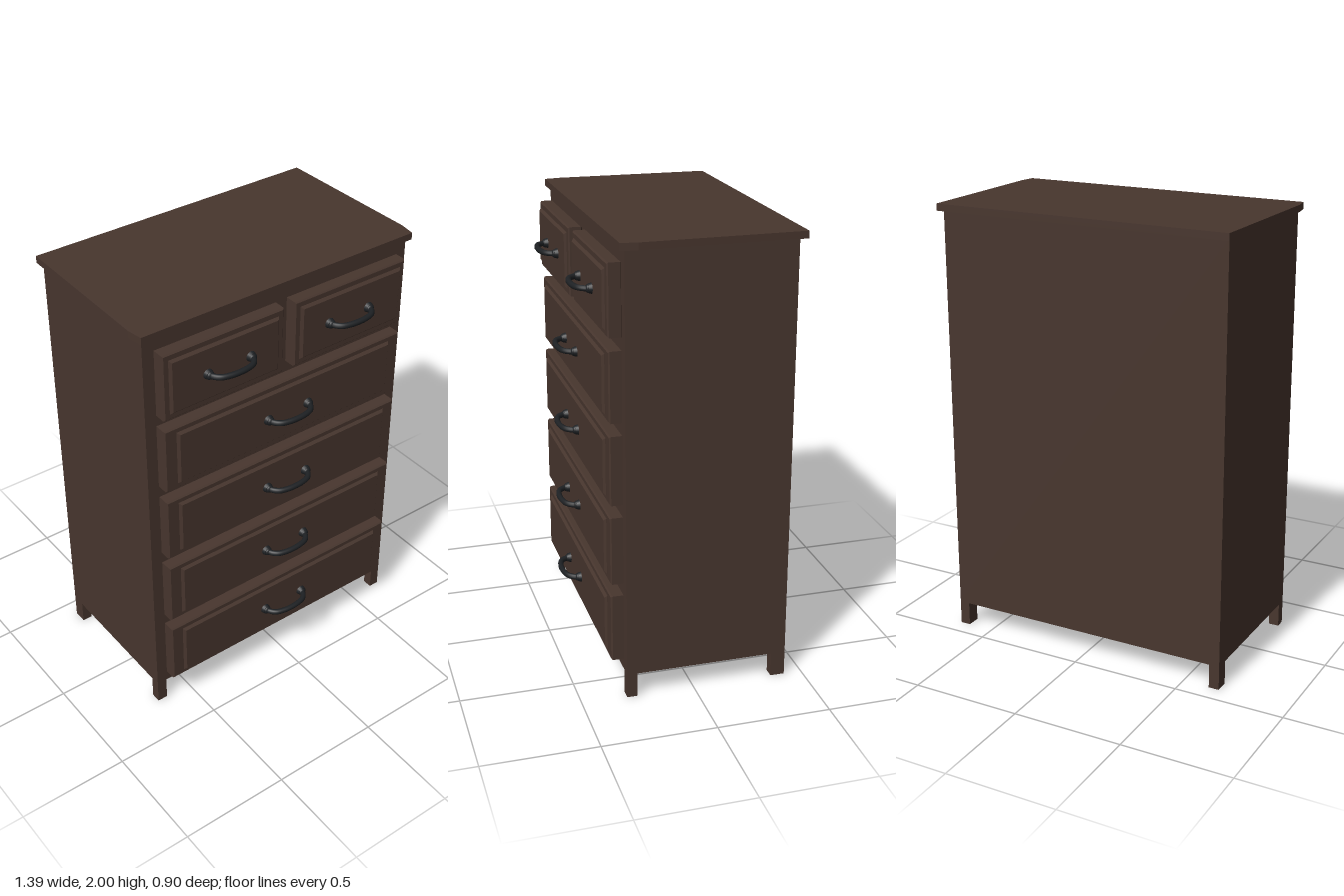
import * as THREE from 'three';

const wood = new THREE.MeshStandardMaterial({ color: 0x48362e });
wood.name = 'darkWood';
const iron = new THREE.MeshStandardMaterial({ color: 0x1e2124 });
iron.name = 'blackIron';

function add(parent, name, geometry, material, x = 0, y = 0, z = 0) {
  const mesh = new THREE.Mesh(geometry, material);
  mesh.name = name;
  mesh.position.set(x, y, z);
  parent.add(mesh);
  return mesh;
}

// Box given by its lower and upper corners
function block(parent, name, [x0, y0, z0], [x1, y1, z1]) {
  const g = new THREE.BoxGeometry(x1 - x0, y1 - y0, z1 - z0);
  return add(parent, name, g, wood, (x0 + x1) / 2, (y0 + y1) / 2, (z0 + z1) / 2);
}

// Board with chamfered edges whose front face lies at zFront
function board(parent, name, w, h, zFront, bevel) {
  const a = w / 2 - bevel, b = h / 2 - bevel, depth = 0.05;
  const shape = new THREE.Shape([
    new THREE.Vector2(-a, -b), new THREE.Vector2(a, -b),
    new THREE.Vector2(a, b), new THREE.Vector2(-a, b),
  ]);
  const g = new THREE.ExtrudeGeometry(shape, {
    depth, bevelEnabled: true, bevelSegments: 1, bevelSize: bevel, bevelThickness: bevel,
  });
  return add(parent, name, g, wood, 0, 0, zFront - depth - bevel);
}

// Bowed pull with a round foot and ball at each end
function handle(zBase) {
  const group = new THREE.Group();
  group.name = 'handle';
  const path = new THREE.CatmullRomCurve3([
    [-0.103, 0], [-0.1, 0.025], [-0.078, 0.05], [-0.04, 0.062], [0, 0.065],
    [0.04, 0.062], [0.078, 0.05], [0.1, 0.025], [0.103, 0],
  ].map(([x, z]) => new THREE.Vector3(x, 0, z)));
  add(group, 'grip', new THREE.TubeGeometry(path, 32, 0.0125, 10), iron);
  for (const s of [-1, 1]) {
    const foot = add(group, 'foot', new THREE.CylinderGeometry(0.019, 0.024, 0.018, 16), iron, s * 0.105, 0, 0.006);
    foot.rotation.x = Math.PI / 2;
    const ball = add(group, 'footBall', new THREE.SphereGeometry(0.018, 14, 10), iron, s * 0.104, 0, 0.014);
    ball.scale.z = 0.7;
  }
  group.position.z = zBase;
  return group;
}

// Drawer front, raised panel and pull
function drawer(name, x, y, w, panelW, panelH, zFront) {
  const group = new THREE.Group();
  group.name = name;
  board(group, 'drawerFront', w, 0.305, zFront, 0.006);
  board(group, 'raisedPanel', panelW, panelH, zFront + 0.012, 0.01);
  group.add(handle(zFront + 0.012));
  group.position.set(x, y, 0);
  return group;
}

export function createModel() {
  const model = new THREE.Group();
  model.name = 'chestOfDrawers';

  // Carcass
  block(model, 'cabinet', [-0.67, 0.11, -0.42], [0.67, 1.97, 0.3]);

  // Legs
  for (const s of [-1, 1]) {
    const x0 = s > 0 ? 0.623 : -0.67;
    block(model, 'frontLeg', [x0, 0, 0.255], [x0 + 0.047, 0.115, 0.3]);
    block(model, 'backLeg', [x0, 0, -0.42], [x0 + 0.047, 0.115, -0.357]);
  }

  // Top board, slightly wider toward the front with clipped corners
  const outline = [[0.684, -0.452], [0.695, 0.25], [0.684, 0.322]];
  const points = [
    ...outline.map(([x, z]) => new THREE.Vector2(x, -z)),
    ...outline.reverse().map(([x, z]) => new THREE.Vector2(-x, -z)),
  ];
  const topGeometry = new THREE.ExtrudeGeometry(new THREE.Shape(points), { depth: 0.031, bevelEnabled: false });
  topGeometry.rotateX(-Math.PI / 2);
  add(model, 'topBoard', topGeometry, wood, 0, 1.969, 0);

  // Two small drawers above four wide ones
  model.add(drawer('rightSmallDrawer', -0.325, 1.758, 0.59, 0.535, 0.25, 0.362));
  model.add(drawer('leftSmallDrawer', 0.325, 1.758, 0.59, 0.535, 0.25, 0.358));
  for (const child of model.children) {
    if (!child.name.endsWith('SmallDrawer')) continue;
    child.getObjectByName('handle').position.x = -Math.sign(child.position.x) * 0.015;
  }
  for (let i = 0; i < 4; i++) {
    model.add(drawer('wideDrawer', 0, 0.314 + i * 0.361, 1.236, 1.12, 0.255, 0.355));
  }
  return model;
}
